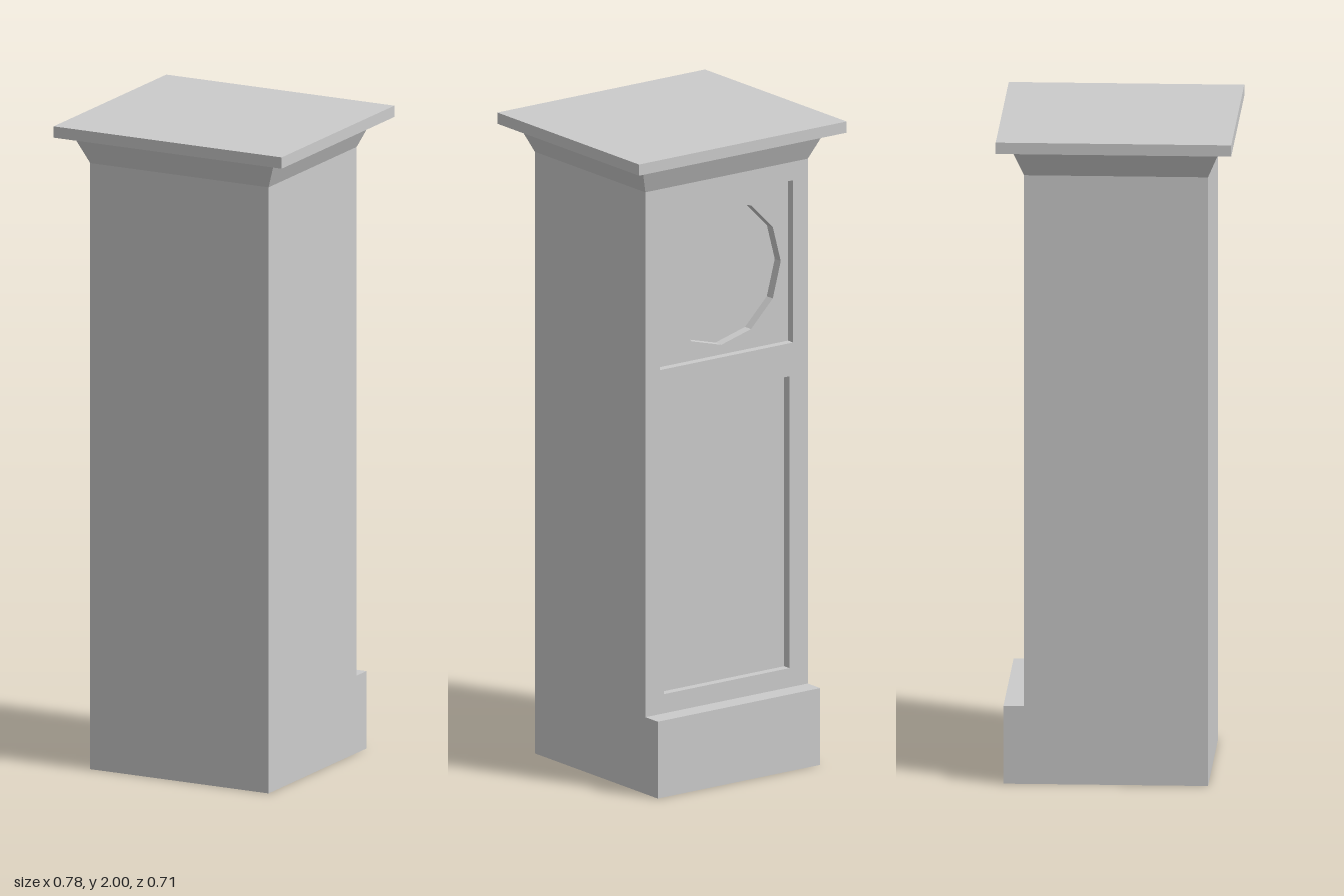
import * as THREE from 'three';

const material = new THREE.MeshStandardMaterial({ color: 0xcccccc, flatShading: true });
const HALF = 0.305;          // half width of the case
const FRONT = 0.28;
const BACK = -0.273;         // plane carrying the dial and the door
const FRAME = 0.026;         // depth of the panel recesses
const DIAL = 0.03;           // extra depth of the dial recess
const TOP = 1.88;            // top of the case, where the cornice starts

function add(group, name, geometry) {
  const mesh = new THREE.Mesh(geometry, material);
  mesh.name = name;
  group.add(mesh);
}

// Box given by its limits on each axis
function box(x0, x1, y0, y1, z0, z1) {
  return new THREE.BoxGeometry(x1 - x0, y1 - y0, z1 - z0)
    .translate((x0 + x1) / 2, (y0 + y1) / 2, (z0 + z1) / 2);
}

function rectangle(path, half, y0, y1) {
  return path.setFromPoints([
    new THREE.Vector2(-half, y0), new THREE.Vector2(half, y0),
    new THREE.Vector2(half, y1), new THREE.Vector2(-half, y1),
  ]);
}

// Upright slab with openings, starting at z
function slab(holes, z, depth) {
  const shape = rectangle(new THREE.Shape(), HALF, 0, TOP);
  shape.holes.push(...holes);
  return new THREE.ExtrudeGeometry(shape, { depth, bevelEnabled: false }).translate(0, 0, z);
}

export function createModel() {
  const clock = new THREE.Group();
  clock.name = 'longcaseClock';

  // Case body and projecting plinth
  add(clock, 'caseBody', box(-HALF, HALF, 0, TOP, BACK + FRAME + DIAL, FRONT));
  add(clock, 'plinth', box(-HALF, HALF, 0, 0.24, -0.335, BACK));

  // Panel frame with a square dial opening and a tall door opening
  add(clock, 'panelFrame', slab([
    rectangle(new THREE.Path(), 0.25, 1.315, 1.822),
    rectangle(new THREE.Path(), 0.236, 0.3, 1.212),
  ], BACK, FRAME));

  // Inner board with the twelve-sided dial recess
  const dial = new THREE.Path().setFromPoints(Array.from({ length: 12 }, (_, i) => {
    const a = i * Math.PI / 6;
    return new THREE.Vector2(0.223 * Math.cos(a), 1.568 + 0.223 * Math.sin(a));
  }));
  add(clock, 'dialBoard', slab([dial], BACK + FRAME, DIAL));

  // Cornice: a box whose upper rim flares outward
  const cornice = box(-HALF, HALF, TOP, 1.965, BACK, FRONT);
  const p = cornice.attributes.position;
  for (let i = 0; i < p.count; i++) {
    if (p.getY(i) < 1.92) continue;
    p.setX(i, p.getX(i) + Math.sign(p.getX(i)) * 0.037);
    p.setZ(i, p.getZ(i) + Math.sign(p.getZ(i)) * 0.035);
  }
  cornice.computeVertexNormals();
  add(clock, 'cornice', cornice);

  // Flat cap
  add(clock, 'cap', box(-0.39, 0.39, 1.965, 2, -0.354, 0.354));

  return clock;
}
